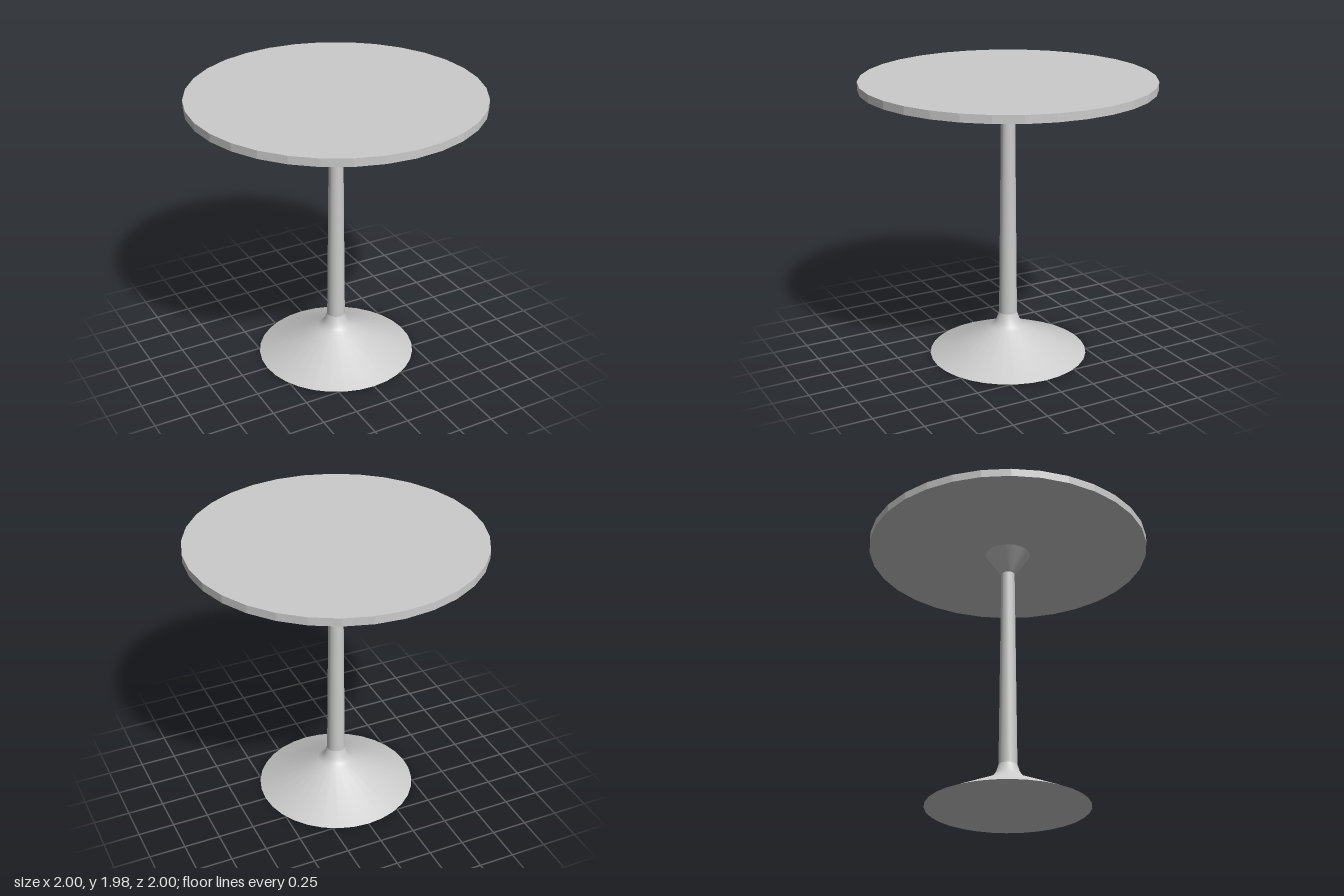
import * as THREE from 'three';
import { toCreasedNormals } from 'three/addons/utils/BufferGeometryUtils.js';

const SIDES = 32;

// Turned part from [radius, height] pairs, listed bottom to top
function turned(name, profile, crease) {
  const points = profile.map(([r, y]) => new THREE.Vector2(r, y));
  const geometry = toCreasedNormals(new THREE.LatheGeometry(points, SIDES), crease);
  const mesh = new THREE.Mesh(geometry, new THREE.MeshStandardMaterial({ color: 0xcccccc }));
  mesh.name = name;
  return mesh;
}

export function createModel() {
  const table = new THREE.Group();
  table.name = 'pedestalTable';

  // Round top with a faceted rim and a very shallow cone underneath
  table.add(turned('tableTop', [[0, 1.912], [1, 1.925], [1, 1.98], [0, 1.98]], 0.1));

  // Flared collar carrying the top
  table.add(turned('collar', [[0, 1.755], [0.048, 1.755], [0.058, 1.768], [0.16, 1.915], [0, 1.915]], 0.5));

  // Slightly tapered column
  table.add(turned('column', [[0, 0.28], [0.064, 0.28], [0.048, 1.77], [0, 1.77]], 0.5));

  // Wide conical foot curving up into the column
  table.add(turned('base', [
    [0, 0], [0.555, 0], [0.13, 0.195], [0.105, 0.215], [0.083, 0.243], [0.064, 0.3], [0, 0.3],
  ], 0.6));

  return table;
}
